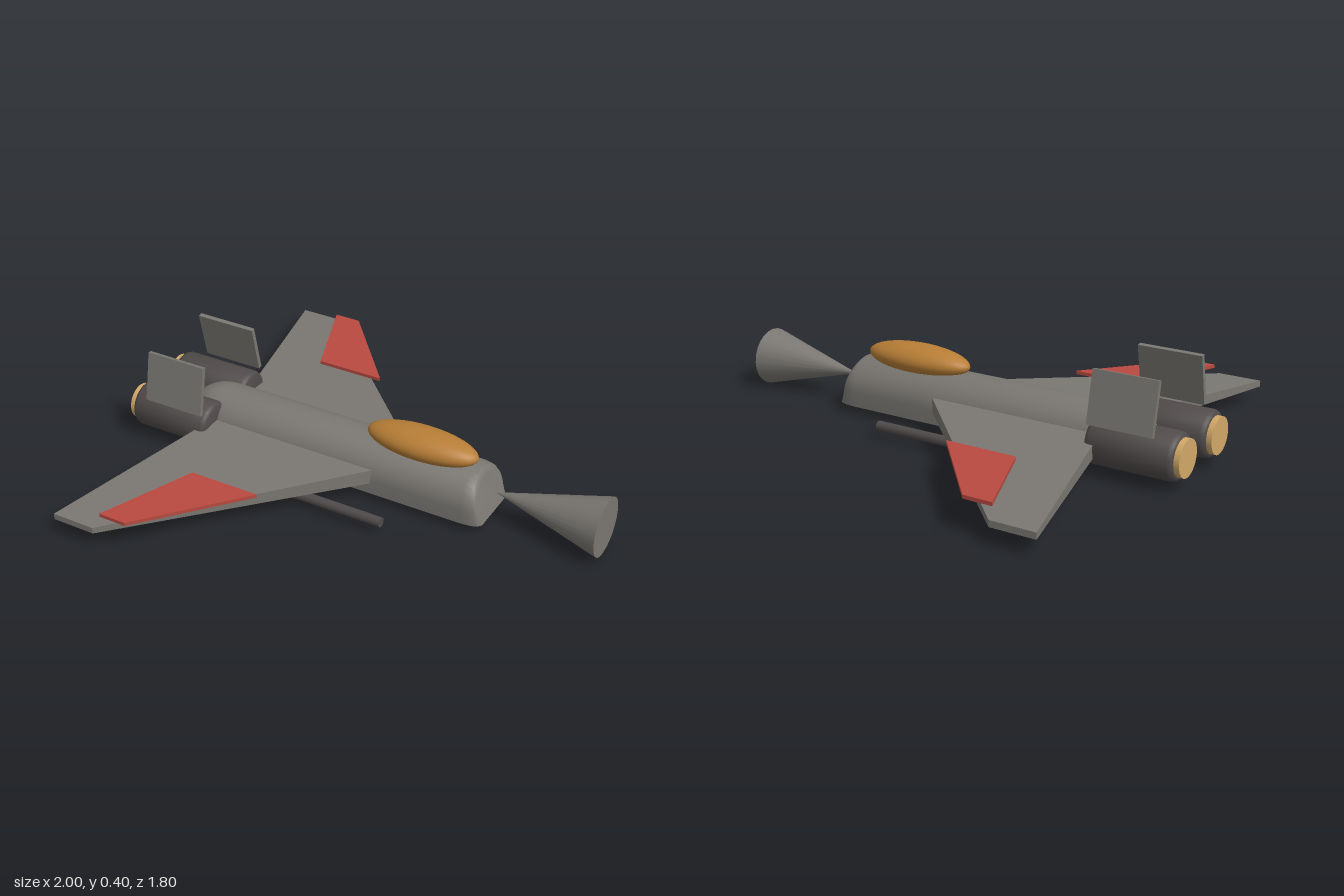
import * as THREE from 'three';
import { toCreasedNormals } from 'three/addons/utils/BufferGeometryUtils.js';

const mat = (name, color, side = THREE.FrontSide) => {
  const m = new THREE.MeshStandardMaterial({ color, side });
  m.name = name;
  return m;
};

function fromTriangles(pos) {
  const g = new THREE.BufferGeometry();
  g.setAttribute('position', new THREE.Float32BufferAttribute(pos, 3));
  g.computeVertexNormals();
  return g;
}

// Four-cornered slab; corners are [x, z, bottom, top] for the +z side, mirrored by s
function slab(corners, s) {
  const c = s > 0 ? [...corners].reverse() : corners;
  const b = c.map(([x, z, lo]) => [x, lo, z * s]);
  const t = c.map(([x, z, , hi]) => [x, hi, z * s]);
  const pos = [];
  const quad = (p, q, r, u) => pos.push(...p, ...q, ...r, ...p, ...r, ...u);
  quad(...t);
  quad(b[3], b[2], b[1], b[0]);
  for (let i = 0; i < 4; i++) {
    const j = (i + 1) % 4;
    quad(b[i], b[j], t[j], t[i]);
  }
  return fromTriangles(pos);
}

// Flat-bottomed, round-topped hull lofted along x
function hullGeometry() {
  const floor = 0.03, sill = 0.09, arc = 20;
  // x, half width, top height, backward lean of the top
  const stations = [
    [0.47, 0.135, 0.216, 0.0], [0.515, 0.131, 0.209, 0.018],
    [0.54, 0.122, 0.198, 0.033], [0.553, 0.106, 0.185, 0.042],
  ];
  const tail = [];
  for (let i = 0; i <= 8; i++) {
    const a = (i / 8) * Math.PI / 2;
    const k = Math.max(Math.sin(a), 0.04);
    tail.push([-0.66 - 0.16 * Math.cos(a), 0.135 * k, sill + 0.126 * k, 0]);
  }
  const rings = [...tail, ...stations].map(([x, w, top, lean]) => {
    const ring = [[-w, floor]];
    for (let i = 0; i <= arc; i++) {
      const a = (i / arc) * Math.PI;
      ring.push([-w * Math.cos(a), sill + (top - sill) * Math.sin(a)]);
    }
    ring.push([w, floor]);
    return ring.map(([z, y]) => [x - lean * (y - floor) / (top - floor), y, z]);
  });
  const pos = [], n = rings[0].length, last = rings.length - 1;
  for (let i = 0; i < last; i++) {
    for (let j = 0; j < n; j++) {
      const k = (j + 1) % n, p = rings[i], q = rings[i + 1];
      pos.push(...p[j], ...p[k], ...q[k], ...p[j], ...q[k], ...q[j]);
    }
  }
  for (let j = 1; j < n - 1; j++) {
    pos.push(...rings[last][0], ...rings[last][j], ...rings[last][j + 1]);
    pos.push(...rings[0][0], ...rings[0][j + 1], ...rings[0][j]);
  }
  return toCreasedNormals(fromTriangles(pos), 0.5);
}

export function createModel() {
  const model = new THREE.Group();
  model.name = 'starfighter';
  const grey = mat('hullGrey', 0x7b7873);
  const dark = mat('engineDark', 0x504b4a);
  const red = mat('panelRed', 0xb94a41);
  const amber = mat('canopyAmber', 0xb87e36);
  const tan = mat('nozzleTan', 0xd2a868);

  const add = (name, geometry, material, x = 0, y = 0, z = 0) => {
    const mesh = new THREE.Mesh(geometry, material);
    mesh.name = name;
    mesh.position.set(x, y, z);
    model.add(mesh);
    return mesh;
  };
  // Cylinder lying along x
  const rod = (r, length, sides) =>
    new THREE.CylinderGeometry(r, r, length, sides).rotateZ(-Math.PI / 2);

  add('fuselage', hullGeometry(), grey);

  // Nose cone with its point towards the hull
  add('noseCone', new THREE.ConeGeometry(0.118, 0.445, 24).rotateZ(Math.PI / 2), grey, 0.7775, 0.119, 0);

  const canopy = add('canopy', new THREE.SphereGeometry(1, 32, 20), amber, 0.24, 0.238, 0);
  canopy.scale.set(0.236, 0.061, 0.088);

  // Engine shell with rounded rims, turned about its axis
  const shell = [
    [0, -0.175], [0.076, -0.175], [0.087, -0.169], [0.093, -0.155],
    [0.093, 0.155], [0.087, 0.169], [0.076, 0.175], [0, 0.175],
  ].map(([r, h]) => new THREE.Vector2(r, h));
  const engine = toCreasedNormals(new THREE.LatheGeometry(shell, 24).rotateZ(-Math.PI / 2), 0.7);

  for (const s of [1, -1]) {
    const side = s > 0 ? 'front' : 'back';

    add(side + 'Wing', slab([
      [0.09, 0.13, 0.078, 0.138], [-0.66, 0.9, 0.065, 0.09],
      [-0.84, 0.9, 0.065, 0.09], [-0.645, 0.13, 0.078, 0.138],
    ], s), grey);

    add(side + 'WingPanel', slab([
      [-0.21, 0.477, 0.122, 0.136], [-0.535, 0.863, 0.122, 0.136],
      [-0.65, 0.863, 0.122, 0.136], [-0.503, 0.477, 0.122, 0.136],
    ], s), red);

    add(side + 'Engine', engine, dark, -0.803, 0.122, s * 0.135);
    add(side + 'Nozzle', rod(0.073, 0.06, 24), tan, -0.97, 0.122, s * 0.135);

    // Tail fin leaning inwards
    const fin = add(side + 'TailFin', new THREE.BoxGeometry(0.262, 0.204, 0.018), grey, -0.77, 0.302, s * 0.195);
    fin.rotation.x = -s * 0.2;

    add(side + 'Gun', rod(0.02, 0.505, 12), dark, -0.0275, 0.048, s * 0.297);
  }
  return model;
}
